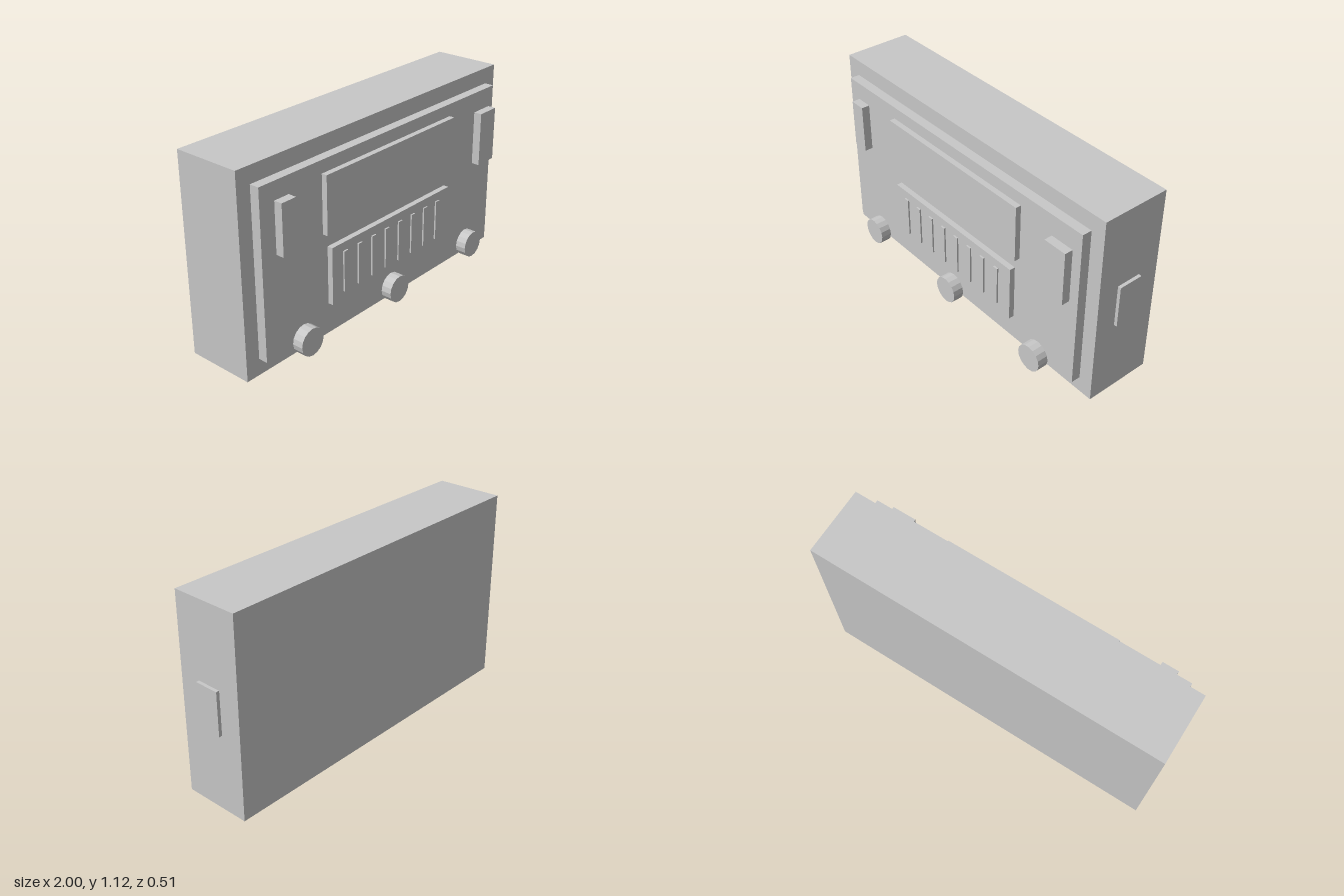
import * as THREE from 'three';

export function createModel() {
  const model = new THREE.Group();
  model.name = 'wallConsole';
  const grey = new THREE.MeshStandardMaterial({ color: 0xc8c8c8 });
  grey.name = 'light grey';

  // Box given by its lower and upper limits on each axis
  function box(name, [x0, x1], [y0, y1], [z0, z1]) {
    const mesh = new THREE.Mesh(new THREE.BoxGeometry(x1 - x0, y1 - y0, z1 - z0), grey);
    mesh.position.set((x0 + x1) / 2, (y0 + y1) / 2, (z0 + z1) / 2);
    mesh.name = name;
    model.add(mesh);
  }

  // Housing and raised front panel
  box('housing', [-1, 0.982], [0.024, 1.122], [-0.255, 0.127]);
  box('frontPanel', [-0.918, 0.901], [0.115, 1.031], [0.127, 0.18]);

  // Display and grille plate
  box('display', [-0.513, 0.495], [0.643, 0.962], [0.18, 0.211]);
  box('grillePlate', [-0.482, 0.463], [0.245, 0.566], [0.18, 0.211]);
  for (let i = 0; i < 8; i++) {
    const x = -0.389 + i * 0.107;
    box('grilleBar' + (i + 1), [x - 0.015, x + 0.015], [0.292, 0.519], [0.211, 0.22]);
  }

  // Upright blocks beside the display
  box('rightBlock', [-0.833, -0.741], [0.666, 0.94], [0.188, 0.234]);
  box('leftBlock', [0.717, 0.853], [0.619, 0.923], [0.188, 0.234]);

  // Row of round knobs with flat facets
  const knobShape = new THREE.CylinderGeometry(0.076, 0.076, 0.061, 16)
    .rotateX(Math.PI / 2).toNonIndexed();
  knobShape.computeVertexNormals();
  [-0.679, -0.008, 0.664].forEach((x, i) => {
    const knob = new THREE.Mesh(knobShape, grey);
    knob.position.set(x, 0.146, 0.2255);
    knob.name = 'knob' + (i + 1);
    model.add(knob);
  });

  // Side button and foot
  box('sideButton', [0.97, 1], [0.453, 0.694], [-0.132, 0.006]);
  box('foot', [-0.465, 0.446], [0, 0.03], [-0.126, -0.003]);

  return model;
}
